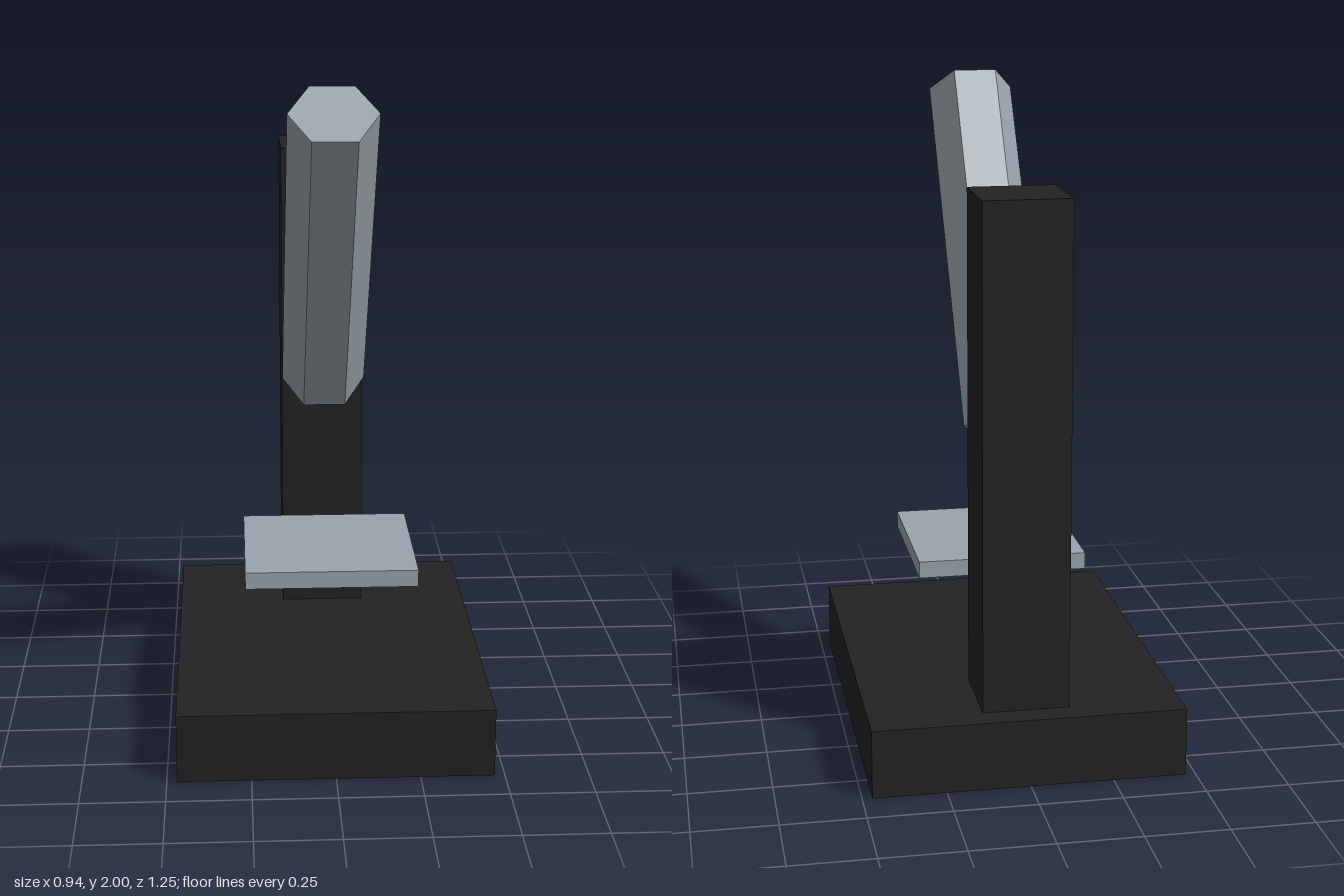
import * as THREE from 'three';

export function createModel() {
  const group = new THREE.Group();
  const black = new THREE.MeshStandardMaterial({ color: 0x222222 });
  black.name = 'black';
  const grey = new THREE.MeshStandardMaterial({ color: 0x9aa4ac, flatShading: true });
  grey.name = 'steelGrey';

  function add(name, geometry, material, x, y, z) {
    const mesh = new THREE.Mesh(geometry, material);
    mesh.name = name;
    mesh.position.set(x, y, z);
    group.add(mesh);
    return mesh;
  }

  // Heavy foot and upright column at the back
  add('base', new THREE.BoxGeometry(0.94, 0.209, 1.254), black, 0, 0.1045, 0);
  add('column', new THREE.BoxGeometry(0.261, 1.522, 0.261), black, 0, 0.968, -0.418);

  // Floating specimen plate
  add('stage', new THREE.BoxGeometry(0.522, 0.052, 0.522), grey, 0, 0.526, 0.104);

  // Six-sided tube leaning forward, its corners pointing to the sides
  const tubeGeometry = new THREE.CylinderGeometry(0.131, 0.131, 1.149, 6, 1, false, Math.PI / 6);
  const tube = add('tube', tubeGeometry, grey, 0, 1.467, 0.106);
  tube.rotation.x = THREE.MathUtils.degToRad(35);

  return group;
}
